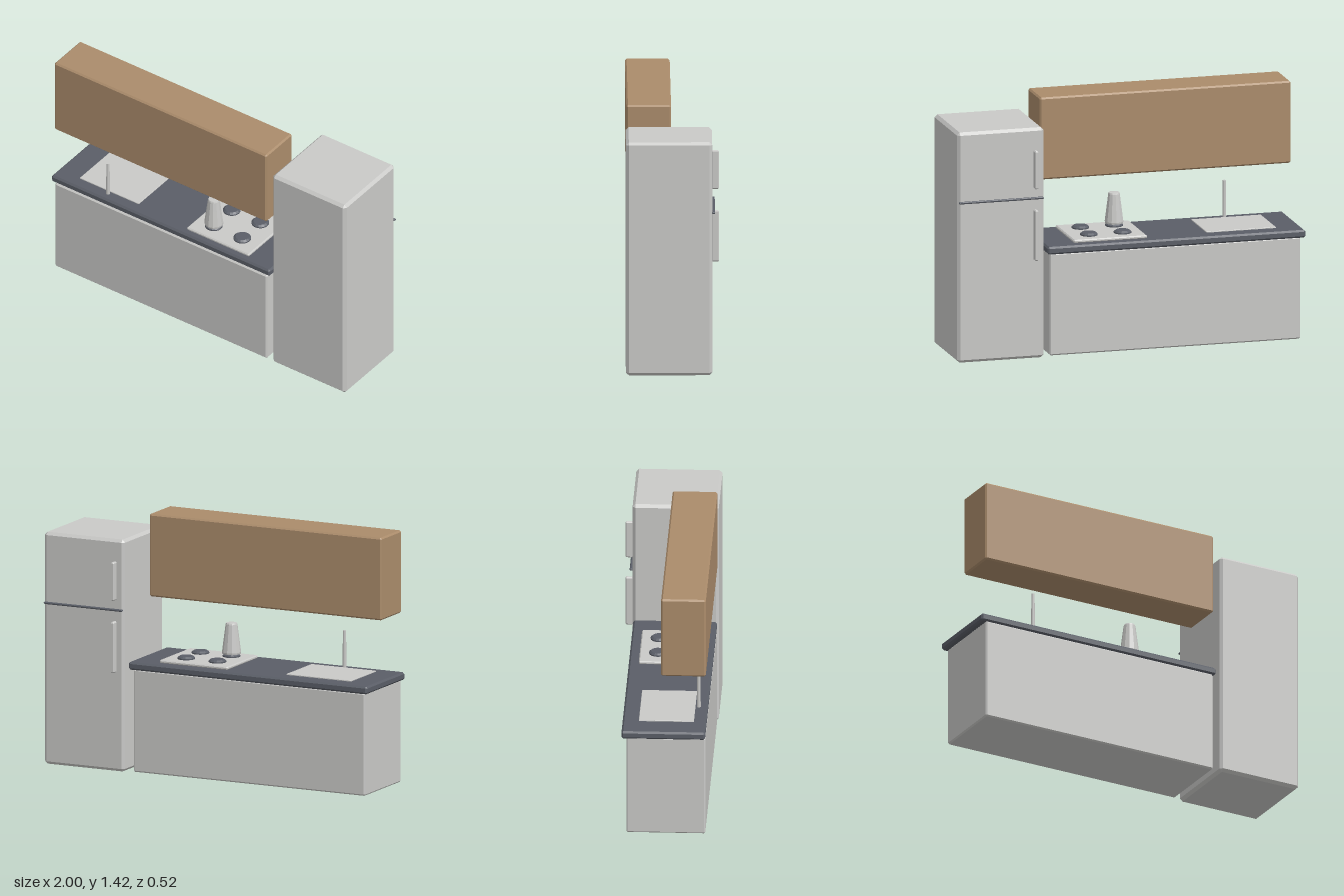
import * as THREE from 'three';
import { ConvexGeometry } from 'three/addons/geometries/ConvexGeometry.js';

const mat = (name, color) => {
  const m = new THREE.MeshStandardMaterial({ color });
  m.name = name;
  return m;
};

// Box between two corners with all edges cut by a chamfer c
function chamferBox(min, max, c) {
  const mid = min.map((v, i) => (v + max[i]) / 2);
  const half = min.map((v, i) => (max[i] - v) / 2);
  const points = [];
  for (const sx of [-1, 1]) for (const sy of [-1, 1]) for (const sz of [-1, 1]) {
    const s = [sx, sy, sz];
    for (let axis = 0; axis < 3; axis++) {
      points.push(new THREE.Vector3(...s.map((k, i) => k * (half[i] - (i === axis ? 0 : c)))));
    }
  }
  return new ConvexGeometry(points).translate(...mid);
}

export function createModel() {
  const group = new THREE.Group();
  const panel = mat('light grey panel', 0xc9c9c7);
  const wood = mat('wood', 0xab8c6b);
  const stone = mat('dark slate', 0x5a5e67);

  const add = (name, geometry, material) => {
    const mesh = new THREE.Mesh(geometry, material);
    mesh.name = name;
    group.add(mesh);
    return mesh;
  };
  const box = (name, min, max, c, material) => add(name, chamferBox(min, max, c), material);

  // Cabinets and worktop
  box('baseCabinet', [-0.975, 0, -0.186], [0.462, 0.578, 0.25], 0.008, panel);
  box('worktop', [-1, 0.578, -0.212], [0.48, 0.622, 0.25], 0.01, stone);
  box('wallCabinet', [-0.978, 0.953, 0.006], [0.462, 1.418, 0.253], 0.009, wood);

  // Refrigerator with door gap strip and two handles on the door side
  box('refrigerator', [0.503, 0, -0.218], [1, 1.306, 0.258], 0.016, panel);
  box('doorGapStrip', [0.508, 0.904, -0.234], [0.994, 0.916, -0.217], 0.004, stone);
  for (const [name, y0, y1] of [['upperHandle', 0.967, 1.183], ['lowerHandle', 0.56, 0.847]]) {
    box(name, [0.545, y0, -0.258], [0.567, y1, -0.217], 0.006, panel);
  }

  // Sink plate and tap
  box('sink', [-0.855, 0.614, -0.122], [-0.455, 0.628, 0.182], 0.002, panel);
  add('tap', new THREE.CylinderGeometry(0.009, 0.011, 0.215, 12), panel)
    .position.set(-0.65, 0.725, 0.2);

  // Cooktop with four burners
  box('cooktop', [-0.107, 0.62, -0.156], [0.315, 0.639, 0.214], 0.006, panel);
  const burnerProfile = [[0, 0.636], [0.049, 0.636], [0.049, 0.646], [0.038, 0.655], [0, 0.655]]
    .map(([r, y]) => new THREE.Vector2(r, y));
  for (const x of [0.007, 0.2]) for (const z of [-0.055, 0.115]) {
    const geometry = new THREE.LatheGeometry(burnerProfile, 16).toNonIndexed();
    geometry.computeVertexNormals();
    add('burner', geometry, stone).position.set(x, 0, z);
  }

  // Tapered coffee pot on one burner
  const potProfile = [[0, 0.655], [0.051, 0.655], [0.053, 0.665], [0.04, 0.765], [0.033, 0.82], [0.03, 0.828], [0, 0.83]]
    .map(([r, y]) => new THREE.Vector2(r, y));
  const pot = new THREE.LatheGeometry(potProfile, 12).toNonIndexed();
  pot.computeVertexNormals();
  add('coffeePot', pot, panel).position.set(0.007, 0, 0.115);

  return group;
}
